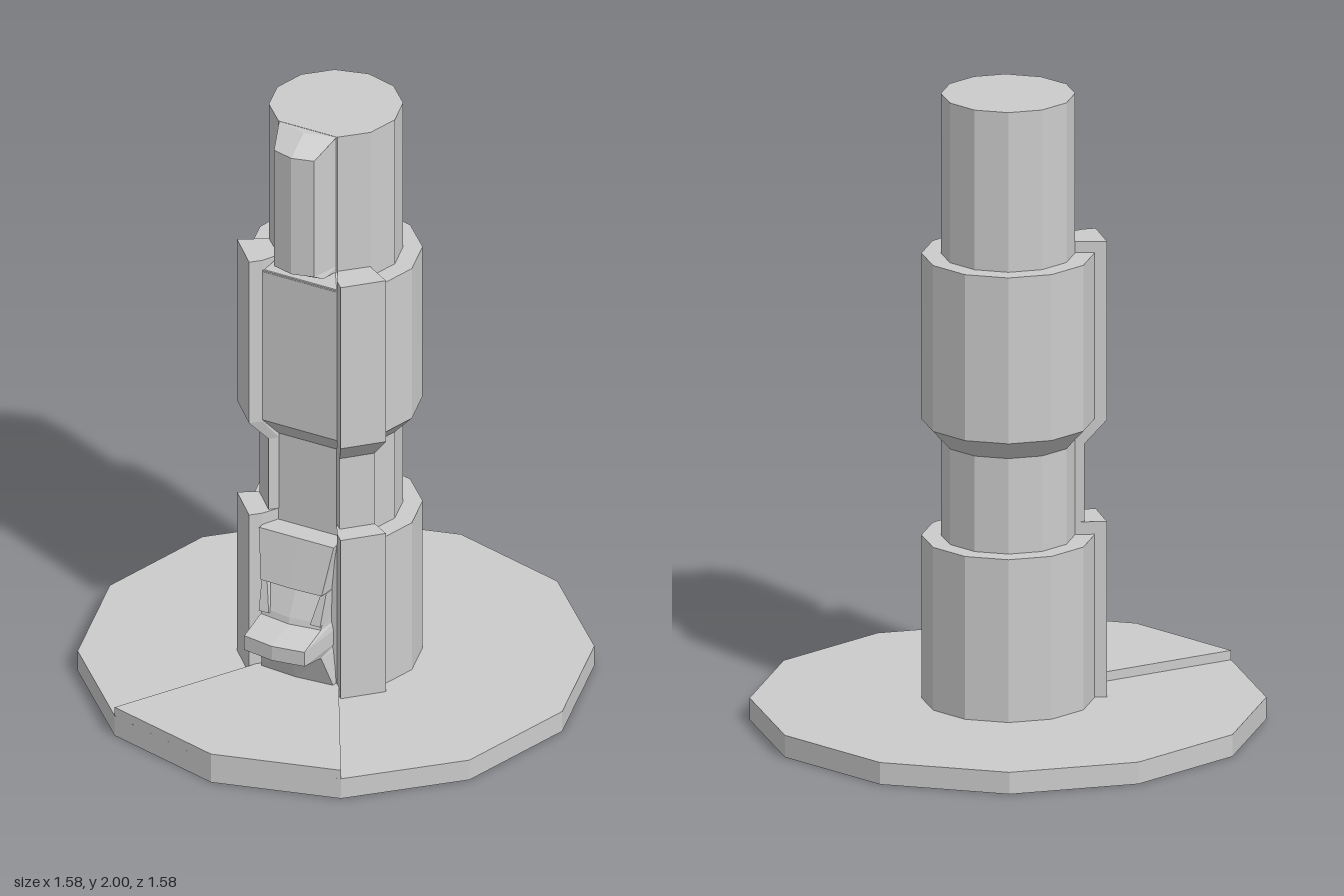
import * as THREE from 'three';

const material = new THREE.MeshStandardMaterial({ color: 0xcccccc, flatShading: true });

// Joins convex rings, listed from bottom to top; each is { y, pts: [[x, z], ...] } turning from +x to +z.
function loft(name, rings) {
  const pos = [];
  const n = rings[0].pts.length;
  const add = (ring, i) => {
    const [x, z] = ring.pts[i % n];
    pos.push(x, ring.y, z);
  };
  for (let r = 0; r < rings.length - 1; r++) {
    const a = rings[r], b = rings[r + 1];
    for (let i = 0; i < n; i++) {
      add(a, i); add(b, i); add(a, i + 1);
      add(a, i + 1); add(b, i); add(b, i + 1);
    }
  }
  const bottom = rings[0], top = rings[rings.length - 1];
  for (let i = 1; i < n - 1; i++) {
    add(bottom, 0); add(bottom, i); add(bottom, i + 1);
    add(top, 0); add(top, i + 1); add(top, i);
  }
  const geo = new THREE.BufferGeometry();
  geo.setAttribute('position', new THREE.Float32BufferAttribute(pos, 3));
  geo.computeVertexNormals();
  const mesh = new THREE.Mesh(geo, material);
  mesh.name = name;
  return mesh;
}

// One outline repeated at several heights and scales
const scaled = (pts, rows) => rows.map(([y, s]) => ({ y, pts: pts.map(([x, z]) => [x * s, z * s]) }));

// Mirrors rings to the other side, keeping their turning direction
const mirror = rings => rings.map(({ y, pts }) => ({ y, pts: pts.map(([x, z]) => [-x, z]).reverse() }));

// Symmetric ring with a slightly pointed front
const nose = (y, w, z, point, backW, backZ) => ({
  y, pts: [[backW, backZ], [w, z], [0, z + point], [-w, z], [-backW, backZ]],
});

export function createModel() {
  const model = new THREE.Group();

  // Twelve-sided foot with a raised front wedge
  const base = new THREE.Mesh(new THREE.CylinderGeometry(0.79, 0.79, 0.07, 12), material);
  base.position.y = 0.035;
  base.name = 'base';
  model.add(base);
  const wedge = [[0.125, 0.21], [0.395, 0.684], [0, 0.79], [-0.395, 0.684], [-0.125, 0.21]];
  model.add(loft('baseWedge', scaled(wedge, [[0.07, 1], [0.1, 1]])));

  // Column: a twelve-sided outline with its front corner cut flat
  const outline = [];
  for (let i = 4; i < 15; i++) {
    const a = i * Math.PI / 6;
    outline.push([0.265 * Math.cos(a), 0.265 * Math.sin(a)]);
  }
  const neck = 0.775;
  model.add(loft('column', scaled(outline, [
    [0.07, 1], [0.59, 1], [0.59, neck], [0.895, neck], [0.96, 1], [1.49, 1], [1.49, neck], [2, neck],
  ])));

  // Raised fins either side of the flat front
  const fin = [[0.17, 0.1], [0.26, 0.155], [0.16, 0.26], [0.13, 0.23], [0.1, 0.17]];
  const finRings = scaled(fin, [
    [0.07, 1], [0.63, 1], [0.63, neck], [0.88, neck], [0.955, 1], [1.525, 1],
  ]);
  model.add(loft('leftFin', finRings), loft('rightFin', mirror(finRings)));

  // Sloped ledge between the fin tops
  model.add(loft('frontLedge', [
    nose(1.485, 0.13, 0.23, 0, 0.1, 0.15),
    nose(1.522, 0.1, 0.185, 0, 0.1, 0.15),
  ]));

  // Bump at the front of the upper shaft
  model.add(loft('upperBump', [
    nose(1.522, 0.085, 0.235, 0.015, 0.1, 0.17),
    nose(1.54, 0.07, 0.265, 0.018, 0.1, 0.17),
    nose(1.95, 0.07, 0.265, 0.018, 0.1, 0.17),
    nose(1.999, 0.1, 0.178, 0.026, 0.1, 0.17),
  ]));

  // Hood over the opening
  model.add(loft('hood', [
    nose(0.43, 0.107, 0.285, 0.004, 0.115, 0.2),
    nose(0.59, 0.13, 0.25, 0, 0.13, 0.2),
  ]));

  // Bracket, projecting lip and sill below the opening
  model.add(loft('lip', [
    nose(0.1, 0.125, 0.245, 0.01, 0.13, 0.2),
    nose(0.21, 0.105, 0.285, 0.015, 0.125, 0.2),
    nose(0.235, 0.105, 0.39, 0.016, 0.12, 0.2),
    nose(0.285, 0.105, 0.39, 0.016, 0.12, 0.2),
    nose(0.31, 0.105, 0.285, 0.015, 0.115, 0.2),
    nose(0.33, 0.105, 0.28, 0.015, 0.115, 0.2),
    nose(0.43, 0.105, 0.24, 0.005, 0.11, 0.2),
  ]));

  // Slanted cheeks framing the opening
  const cheek = [
    { y: 0.325, pts: [[0.112, 0.2], [0.107, 0.295], [0.072, 0.295], [0.072, 0.2]] },
    { y: 0.43, pts: [[0.115, 0.2], [0.112, 0.265], [0.095, 0.265], [0.095, 0.2]] },
  ];
  model.add(loft('leftCheek', cheek), loft('rightCheek', mirror(cheek)));

  return model;
}
